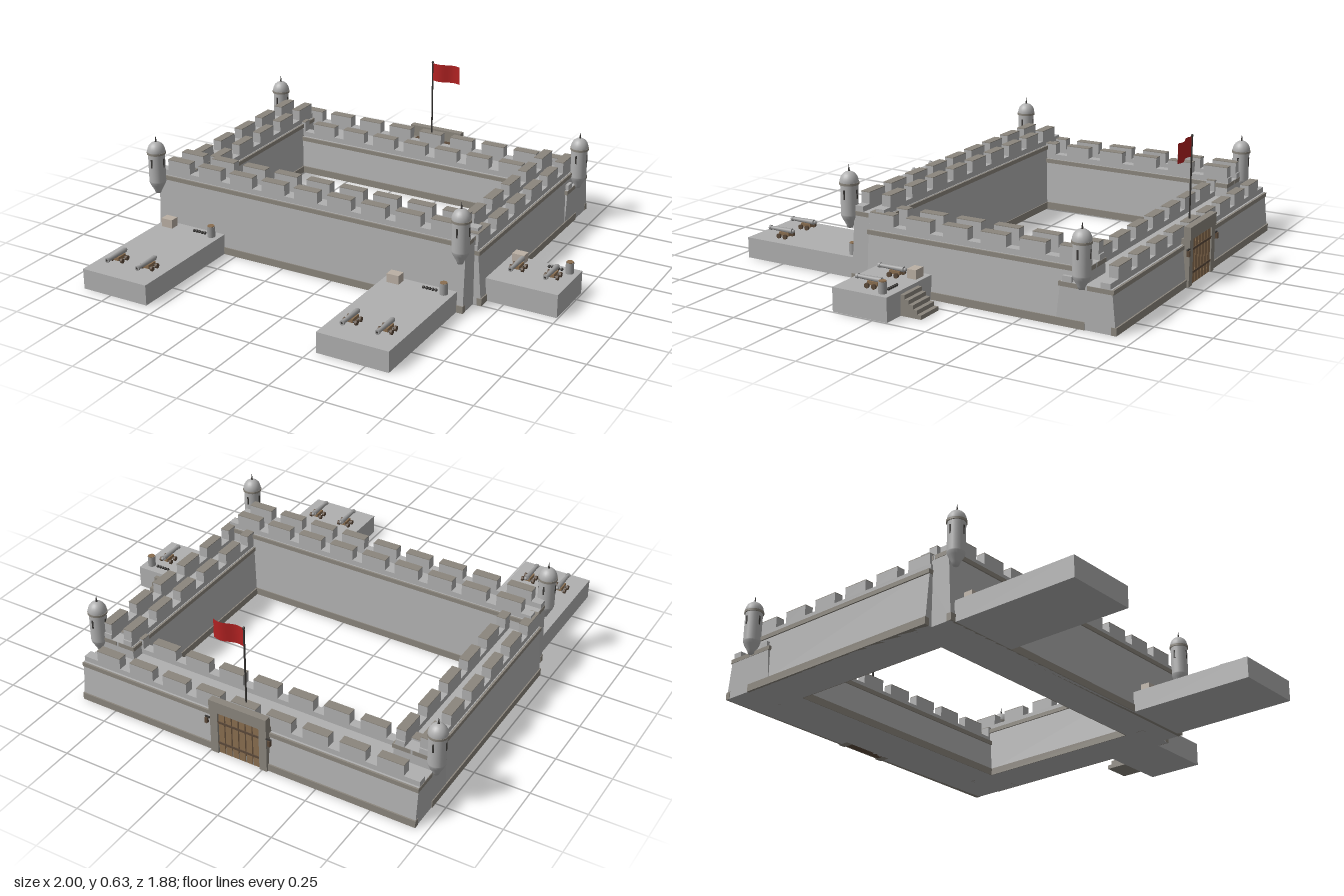
import * as THREE from 'three';

const mat = (name, color) => {
  const m = new THREE.MeshStandardMaterial({ color });
  m.name = name;
  return m;
};
const M = {
  stone: mat('stone', 0xb0b0b0),
  trim: mat('trim stone', 0x8b867d),
  iron: mat('iron', 0x3a3836),
  metal: mat('gun metal', 0x9c9c9c),
  wood: mat('wood', 0x8a6e50),
  darkWood: mat('dark wood', 0x5c4a3a),
  crate: mat('crate', 0xbbb0a4),
  flag: mat('flag red', 0xb22222),
};
M.flag.side = THREE.DoubleSide;

function add(parent, name, geo, material, x = 0, y = 0, z = 0) {
  const mesh = new THREE.Mesh(geo, material);
  mesh.name = name;
  mesh.position.set(x, y, z);
  parent.add(mesh);
  return mesh;
}
// Box given by its ranges along each axis
function box(parent, name, material, x0, x1, y0, y1, z0, z1) {
  return add(parent, name, new THREE.BoxGeometry(x1 - x0, y1 - y0, z1 - z0), material,
    (x0 + x1) / 2, (y0 + y1) / 2, (z0 + z1) / 2);
}
function group(parent, name, x = 0, y = 0, z = 0) {
  const g = new THREE.Group();
  g.name = name;
  g.position.set(x, y, z);
  parent.add(g);
  return g;
}

// Battered wall along local x, with two crenellated parapets and trim bands
function wall(parent, name, { length, deck, base, top, row, count, pitch }) {
  const g = group(parent, name);
  const h = length / 2;
  const shape = new THREE.Shape([[-base, 0], [base, 0], [top, deck], [-top, deck]]
    .map(([x, y]) => new THREE.Vector2(x, y)));
  const geo = new THREE.ExtrudeGeometry(shape, { depth: length, bevelEnabled: false });
  geo.translate(0, 0, -h).rotateY(Math.PI / 2);
  add(g, 'wallBody', geo, M.stone);
  for (const s of [-1, 1]) {
    const strip = (n, y0, y1, a, b) =>
      box(g, n, M.trim, -h - 0.002, h + 0.002, y0, y1, Math.min(s * a, s * b), Math.max(s * a, s * b));
    strip('baseBand', 0, 0.033, base - 0.02, base + 0.003);
    strip('upperBand', deck - 0.02, deck - 0.001, 0.005, top + 0.008);
    const z = s * row;
    box(g, 'parapet', M.stone, -h, h, deck, deck + 0.024, z - 0.021, z + 0.021);
    for (let i = 0; i < count; i++) {
      const x = (i - (count - 1) / 2) * pitch;
      box(g, 'merlon', M.stone, x - 0.059, x + 0.059, deck + 0.024, deck + 0.073, z - 0.021, z + 0.021);
      box(g, 'merlonCap', M.trim, x - 0.059, x + 0.059, deck + 0.073, deck + 0.076, z - 0.021, z + 0.021);
    }
  }
  return g;
}

// Corner turret with a tapered foot, domed roof and finial
function turret(parent, name, x, y, z) {
  const g = group(parent, name, x, y, z);
  const profile = [[0, 0], [0.012, 0], [0.018, 0.015], [0.032, 0.04], [0.038, 0.055], [0.038, 0.06], [0.038, 0.195]]
    .map(([r, h]) => new THREE.Vector2(r, h));
  add(g, 'turretBody', new THREE.LatheGeometry(profile, 20), M.stone);
  add(g, 'turretRing', new THREE.CylinderGeometry(0.043, 0.043, 0.01, 20), M.trim, 0, 0.195, 0);
  const dome = add(g, 'turretDome', new THREE.SphereGeometry(0.041, 20, 8, 0, Math.PI * 2, 0, Math.PI / 2), M.stone, 0, 0.2, 0);
  dome.scale.y = 1.15;
  add(g, 'finial', new THREE.ConeGeometry(0.005, 0.032, 8), M.iron, 0, 0.261, 0);
  for (let i = 0; i < 4; i++) {
    const a = i * Math.PI / 2;
    const slit = add(g, 'arrowSlit', new THREE.BoxGeometry(0.007, 0.04, 0.006), M.iron,
      Math.sin(a) * 0.037, 0.15, Math.cos(a) * 0.037);
    slit.rotation.y = a;
  }
}

// Cannon on a four-wheeled carriage, muzzle towards +z
function cannon(parent, x, y, z) {
  const g = group(parent, 'cannon', x, y, z);
  box(g, 'carriage', M.wood, -0.014, 0.014, 0.01, 0.026, -0.026, 0.026);
  for (const sz of [-0.017, 0.017]) {
    for (const sx of [-1, 1]) {
      add(g, 'wheel', new THREE.CylinderGeometry(0.011, 0.011, 0.01, 12).rotateZ(Math.PI / 2), M.darkWood, sx * 0.027, 0.011, sz);
    }
    add(g, 'axle', new THREE.CylinderGeometry(0.004, 0.004, 0.05, 8).rotateZ(Math.PI / 2), M.iron, 0, 0.011, sz);
  }
  add(g, 'barrel', new THREE.CylinderGeometry(0.008, 0.012, 0.12, 14).rotateX(Math.PI / 2), M.metal, 0, 0.034, 0.022);
  add(g, 'muzzleRing', new THREE.CylinderGeometry(0.011, 0.011, 0.01, 14).rotateX(Math.PI / 2), M.metal, 0, 0.034, 0.081);
  add(g, 'bore', new THREE.CircleGeometry(0.005, 10), M.iron, 0, 0.034, 0.0865);
  add(g, 'knob', new THREE.SphereGeometry(0.008, 10, 8), M.metal, 0, 0.034, -0.044);
}

// Gun platform with cannons and supplies; the origin is its back edge on the ground
function battery(parent, name, x, z, depth, height, gunZ) {
  const g = group(parent, name, x, 0, z);
  box(g, 'platform', M.stone, -0.165, 0.165, 0, height, 0, depth);
  for (const gx of [-0.08, 0.08]) cannon(g, gx, height, gunZ);
  box(g, 'crate', M.crate, -0.135, -0.078, height, height + 0.04, 0.02, 0.063);
  for (let i = 0; i < 5; i++) {
    add(g, 'cannonball', new THREE.SphereGeometry(0.007, 10, 8), M.iron, 0.03 + i * 0.0145, height + 0.007, 0.042);
  }
  add(g, 'powderBarrel', new THREE.CylinderGeometry(0.018, 0.018, 0.05, 14), M.metal, 0.125, height + 0.025, 0.045);
  add(g, 'barrelLid', new THREE.CylinderGeometry(0.016, 0.016, 0.004, 14), M.wood, 0.125, height + 0.051, 0.045);
}

export function createModel() {
  const fort = new THREE.Group();
  fort.name = 'fort';
  const cx = -0.14;

  // Four walls, stepping down from front to back
  const long = { base: 0.097, top: 0.078, row: 0.053 };
  wall(fort, 'frontWall', { ...long, length: 1.55, deck: 0.315, count: 9, pitch: 0.167 }).position.set(cx, 0, 0.257);
  for (const s of [-1, 1]) {
    const side = wall(fort, s > 0 ? 'leftWall' : 'rightWall', { ...long, length: 1.03, deck: 0.25, count: 6, pitch: 0.18 });
    side.rotation.y = Math.PI / 2;
    side.position.set(cx + s * 0.714, 0, -0.263);
  }
  wall(fort, 'backWall', { base: 0.133, top: 0.113, row: 0.084, length: 1.62, deck: 0.185, count: 9, pitch: 0.17 })
    .position.set(cx, 0, -0.783);

  // Corner turrets
  for (const s of [-1, 1]) {
    turret(fort, 'frontTurret', cx + s * 0.765, 0.235, 0.365);
    turret(fort, 'backTurret', cx + s * 0.819, 0.17, -0.768);
  }

  // Gun platforms
  battery(fort, 'frontRightBattery', -0.725, 0.35, 0.59, 0.094, 0.445);
  battery(fort, 'frontLeftBattery', 0.441, 0.35, 0.59, 0.094, 0.445);
  battery(fort, 'sideBattery', 0.829, -0.067, 0.264, 0.106, 0.117);

  // Stairs up to the side platform
  for (let i = 0; i < 5; i++) {
    box(fort, 'stairStep', M.trim, 0.768, 0.896, 0, 0.018 * (i + 1), -0.165 + i * 0.0196, -0.067);
  }

  // Gate in the back wall
  const gate = group(fort, 'gate', -0.138, 0, -0.92);
  for (const s of [-1, 1]) {
    box(gate, 'gatePost', M.trim, s * 0.118 - 0.018, s * 0.118 + 0.018, 0, 0.21, -0.008, 0.045);
    box(gate, 'lanternBracket', M.iron, s * 0.148 - 0.012, s * 0.148 + 0.012, 0.168, 0.174, -0.01, -0.004);
    box(gate, 'lantern', M.darkWood, s * 0.152 - 0.006, s * 0.152 + 0.006, 0.142, 0.168, -0.016, -0.003);
  }
  box(gate, 'lintel', M.trim, -0.138, 0.138, 0.21, 0.265, -0.012, 0.02);
  box(gate, 'doorBacking', M.darkWood, -0.1, 0.1, 0, 0.21, 0.002, 0.045);
  for (let i = 0; i < 6; i++) {
    const x = (i - 2.5) * 0.0333;
    box(gate, 'doorPlank', M.wood, x - 0.0135, x + 0.0135, 0.004, 0.206, -0.003, 0.002);
  }
  for (const y of [0.05, 0.155]) box(gate, 'doorStrap', M.darkWood, -0.1, 0.1, y, y + 0.01, -0.006, -0.003);

  // Flag on its pole, with waving cloth
  add(fort, 'flagpole', new THREE.CylinderGeometry(0.004, 0.004, 0.38, 8), M.iron, -0.14, 0.435, -0.863);
  add(fort, 'poleKnob', new THREE.SphereGeometry(0.006, 10, 8), M.iron, -0.14, 0.625, -0.863);
  const cloth = new THREE.PlaneGeometry(0.145, 0.088, 16, 1).translate(0.0725, 0, 0);
  const p = cloth.attributes.position;
  for (let i = 0; i < p.count; i++) p.setZ(i, 0.009 * Math.sin(p.getX(i) * 43));
  cloth.computeVertexNormals();
  add(fort, 'flagCloth', cloth, M.flag, -0.14, 0.577, -0.863);

  return fort;
}
